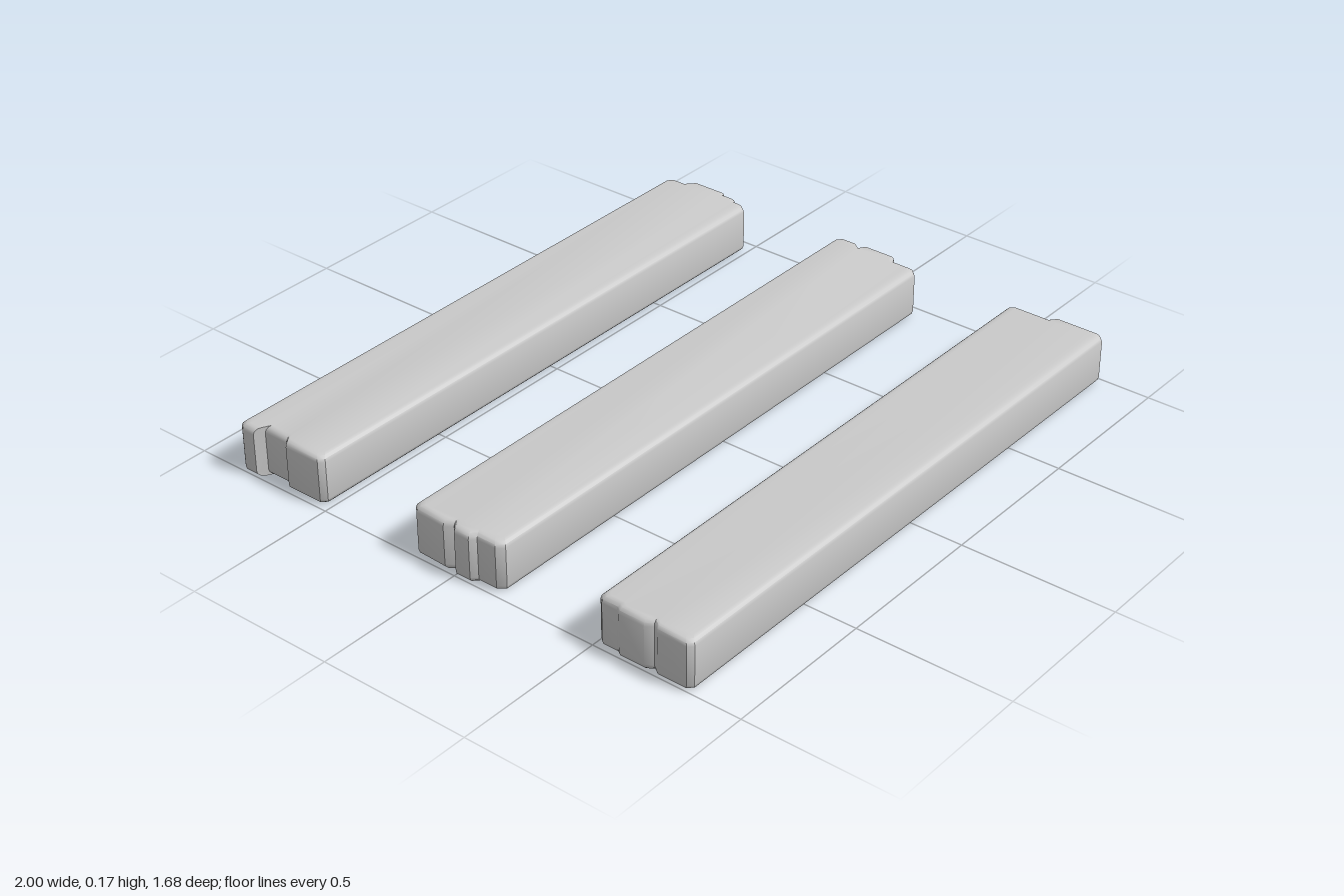
import * as THREE from 'three';
import { toCreasedNormals } from 'three/addons/utils/BufferGeometryUtils.js';

const HEIGHT = 0.165, HALF = 0.163, ROUND = 0.02, ARC = 3;

// End outlines as [x, z] with z measured from the plank's centre line, back to front.
const planks = [
  { name: 'backPlank', z: -0.677,
    left: [[-0.985, -0.163], [-1, -0.145], [-1, -0.1], [-0.97, -0.082], [-0.97, 0.005], [-0.988, 0.02], [-0.988, 0.147], [-0.972, 0.163]],
    right: [[0.95, -0.163], [0.965, -0.147], [0.965, -0.1], [0.995, -0.07], [0.995, 0.045], [0.982, 0.055], [0.982, 0.1], [0.967, 0.115], [0.967, 0.142], [0.95, 0.163]] },
  { name: 'middlePlank', z: 0.002,
    left: [[-0.972, -0.163], [-0.99, -0.145], [-0.995, -0.04], [-0.978, -0.015], [-1, 0.005], [-1, 0.058], [-0.983, 0.075], [-0.983, 0.14], [-0.965, 0.163]],
    right: [[0.975, -0.163], [0.99, -0.147], [0.99, -0.095], [0.972, -0.07], [0.995, -0.055], [0.995, 0.052], [0.968, 0.075], [0.968, 0.147], [0.952, 0.163]] },
  { name: 'frontPlank', z: 0.673,
    left: [[-0.975, -0.163], [-0.99, -0.147], [-0.99, -0.095], [-1, -0.08], [-1, 0.005], [-0.985, 0.028], [-1, 0.05], [-1, 0.147], [-0.985, 0.163]],
    right: [[0.96, -0.163], [0.972, -0.15], [0.972, -0.02], [0.995, 0.0], [0.995, 0.147], [0.98, 0.163]] },
];

function plankGeometry({ left, right }) {
  const outline = [...left].reverse().concat(right).map(([x, z]) => new THREE.Vector2(x, z));
  const steps = 2 * ARC + 1;
  const geometry = new THREE.ExtrudeGeometry(new THREE.Shape(outline), { depth: steps, steps, bevelEnabled: false });

  // Move each layer so the top and bottom rims are rounded.
  const p = geometry.attributes.position;
  for (let i = 0; i < p.count; i++) {
    const layer = Math.round(p.getZ(i));
    const k = Math.min(layer, steps - layer);
    const angle = (k / ARC) * Math.PI / 2;
    const inset = ROUND * (1 - Math.sin(angle));
    const rise = ROUND * (1 - Math.cos(angle));
    const x = p.getX(i);
    p.setXYZ(i, x - Math.sign(x) * inset, p.getY(i) * (1 - inset / HALF), layer === k ? rise : HEIGHT - rise);
  }
  geometry.rotateX(Math.PI / 2).translate(0, HEIGHT, 0);
  return toCreasedNormals(geometry, 0.6);
}

export function createModel() {
  const group = new THREE.Group();
  group.name = 'planks';
  const material = new THREE.MeshStandardMaterial({ color: 0xcccccc });
  for (const plank of planks) {
    const mesh = new THREE.Mesh(plankGeometry(plank), material);
    mesh.name = plank.name;
    mesh.position.z = plank.z;
    group.add(mesh);
  }
  return group;
}
